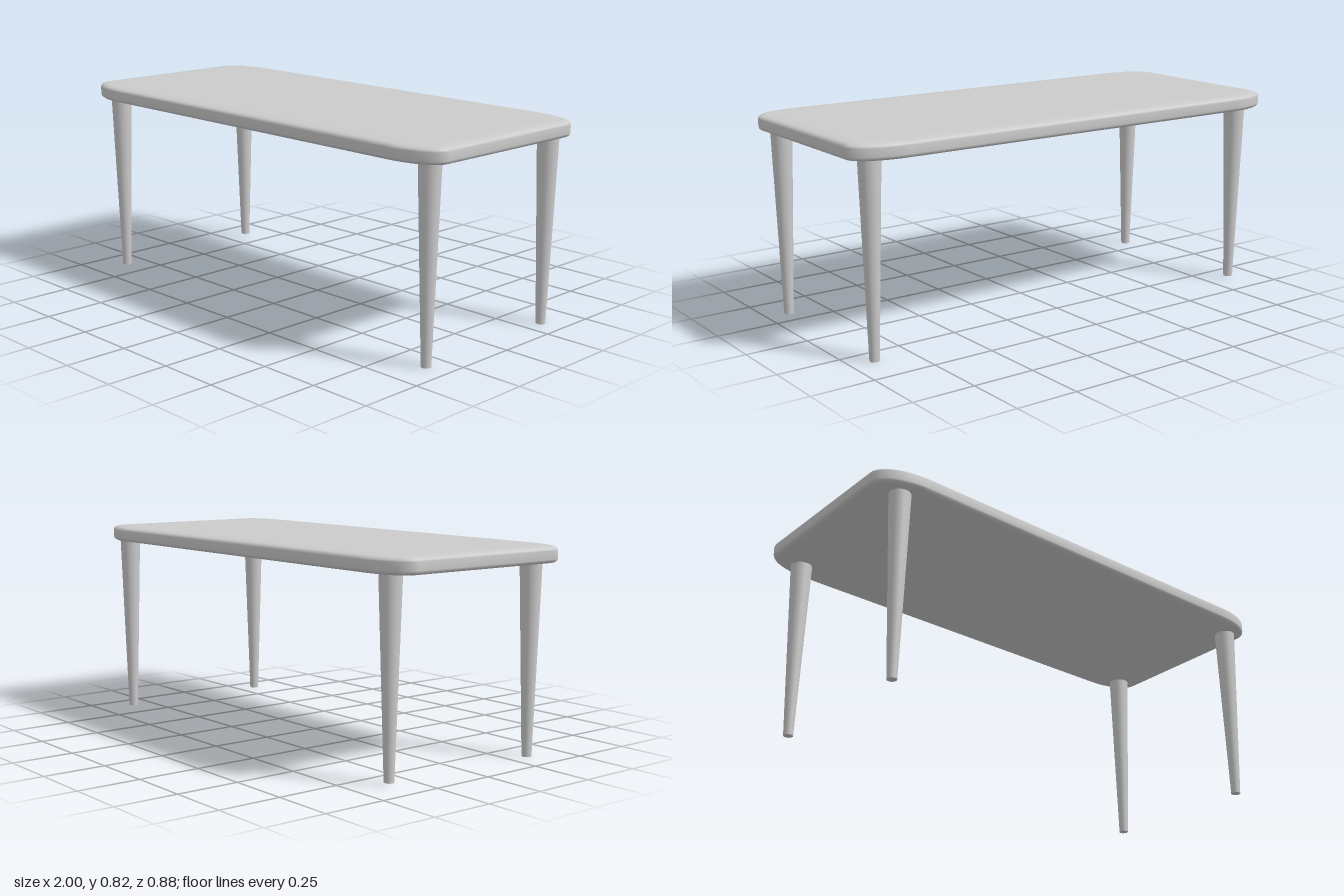
import * as THREE from 'three';

const material = new THREE.MeshStandardMaterial({ color: 0xcccccc });

// Rounded-rectangle outline with elliptical corners, pulled in by an inset
function outline(inset, steps = 12) {
  const hx = 0.995 - inset, hz = 0.434 - inset;
  const rx = 0.2 - inset, rz = 0.1 - inset;
  const points = [];
  for (let q = 0; q < 4; q++) {
    const sx = q === 0 || q === 3 ? 1 : -1, sz = q < 2 ? 1 : -1;
    for (let i = 0; i <= steps; i++) {
      const a = (q + i / steps) * Math.PI / 2;
      points.push([sx * (hx - rx) + rx * Math.cos(a), sz * (hz - rz) + rz * Math.sin(a)]);
    }
  }
  return points;
}

// Table top: outlines stacked from the underside to the slightly crowned face
function topGeometry() {
  const profile = [ // [inset, height]
    [0.08, 0.748], [0.03, 0.749], [0.012, 0.752], [0.003, 0.758], [0, 0.766],
    [0, 0.797], [0.003, 0.804], [0.012, 0.81], [0.03, 0.813], [0.08, 0.816],
  ];
  const positions = [], index = [];
  for (const [inset, y] of profile) {
    for (const [x, z] of outline(inset)) positions.push(x, y, z);
  }
  const n = outline(0).length, last = profile.length - 1;
  for (let r = 0; r < last; r++) {
    for (let i = 0; i < n; i++) {
      const j = (i + 1) % n, a = r * n + i, b = r * n + j;
      index.push(a, a + n, b, b, a + n, b + n);
    }
  }
  // Flat middles of the underside and the upper face
  const low = positions.length / 3, high = low + 1;
  positions.push(0, profile[0][1], 0, 0, profile[last][1], 0);
  for (let i = 0; i < n; i++) {
    const j = (i + 1) % n;
    index.push(low, i, j, high, last * n + j, last * n + i);
  }
  const geometry = new THREE.BufferGeometry();
  geometry.setAttribute('position', new THREE.Float32BufferAttribute(positions, 3));
  geometry.setIndex(index);
  geometry.computeVertexNormals();
  return geometry;
}

export function createModel() {
  const table = new THREE.Group();
  table.name = 'table';

  const top = new THREE.Mesh(topGeometry(), material);
  top.name = 'tableTop';
  top.rotation.y = -0.009;
  table.add(top);

  // Round tapered legs; one stands a touch short
  const legs = [
    ['frontLeftLeg', 0.903, 0.34, 0],
    ['backLeftLeg', 0.903, -0.335, 0],
    ['frontRightLeg', -0.873, 0.34, 0],
    ['backRightLeg', -0.863, -0.354, 0.01],
  ];
  for (const [name, x, z, foot] of legs) {
    const height = 0.755 - foot;
    const leg = new THREE.Mesh(new THREE.CylinderGeometry(0.043, 0.019, height, 24, 2), material);
    leg.name = name;
    leg.position.set(x, foot + height / 2, z);
    table.add(leg);
  }
  return table;
}
